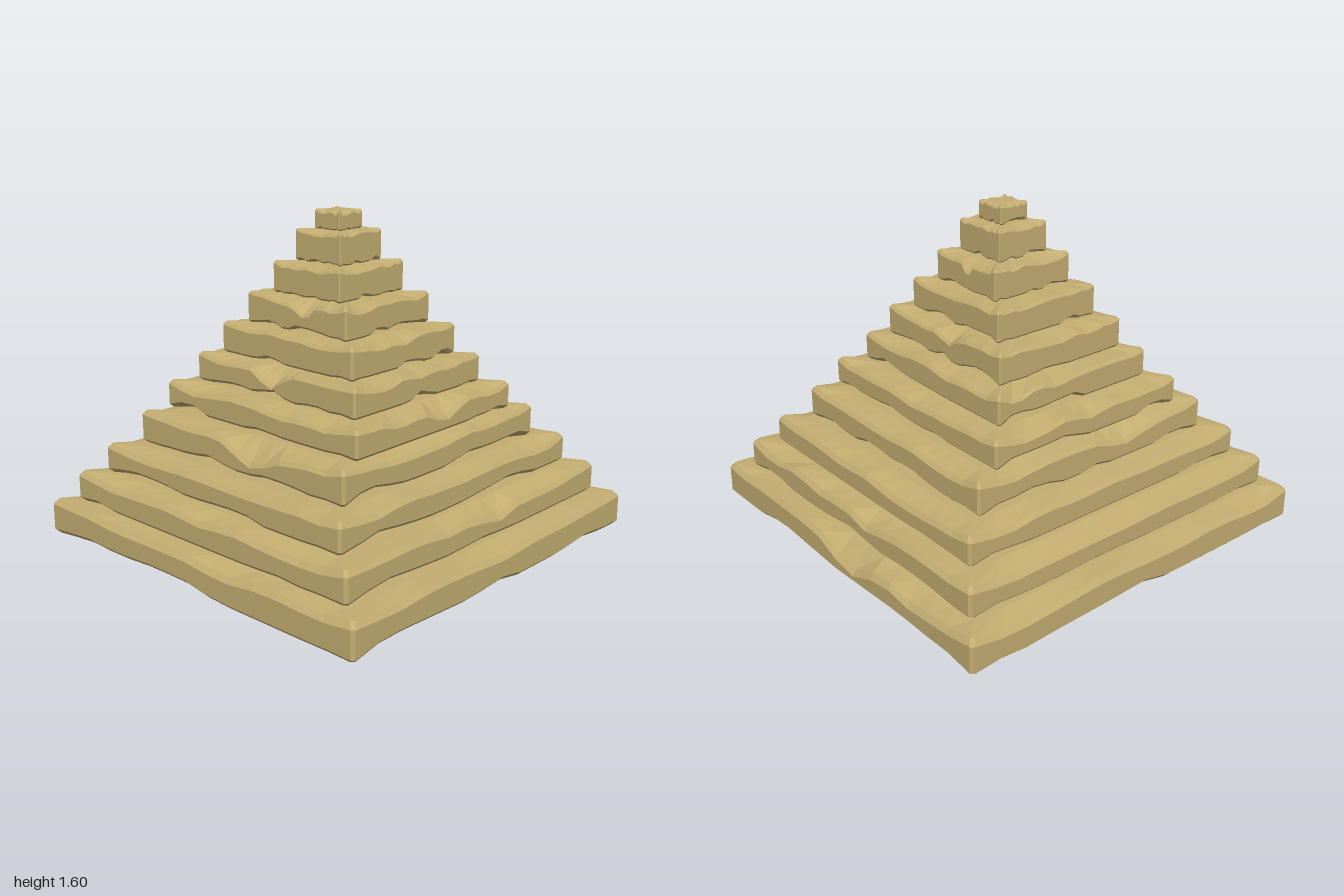
import * as THREE from 'three';

// Small seeded generator for the weathering
function seeded(seed) {
  let s = seed * 7919 + 17;
  return () => {
    s = (s * 16807) % 2147483647;
    return s / 2147483647;
  };
}

// Half width in x, half depth in z, bottom and top of each step
const TIERS = [
  [1.0, 1.0, 0, 0.175], [0.917, 0.888, 0.175, 0.328], [0.825, 0.77, 0.328, 0.472],
  [0.688, 0.663, 0.472, 0.63], [0.555, 0.617, 0.63, 0.765], [0.45, 0.51, 0.765, 0.905],
  [0.368, 0.42, 0.905, 1.055], [0.295, 0.317, 1.055, 1.205], [0.225, 0.213, 1.205, 1.355],
  [0.143, 0.144, 1.355, 1.505], [0.08, 0.08, 1.505, 1.595],
];

// Deep worn notches: tier, side (0 front, 1 +x, 2 back, 3 -x), place along side, depth, half width
const NOTCHES = [
  [0, 1, 0.12, 0.08, 0.25], [0, 1, 0.55, 0.03, 0.2], [1, 0, 0.11, 0.06, 0.22],
  [1, 1, -0.8, 0.04, 0.2], [1, 1, 0.12, 0.04, 0.2], [4, 0, 0.1, 0.07, 0.28],
  [6, 1, 0.12, 0.05, 0.25], [8, 1, 0.08, 0.05, 0.22], [3, 2, 0.25, 0.06, 0.25],
  [3, 3, 0.18, 0.08, 0.28], [5, 3, -0.05, 0.06, 0.28], [7, 3, 0.2, 0.06, 0.28],
];

const SEGMENTS = 14;

// One stone step: rings of a bevelled square, worn along its upper and lower edges
function stepGeometry([hx, hz, y0, y1], tier) {
  const rand = seeded(tier + 1);
  const size = Math.max(hx, hz);
  const bevel = 0.005 + 0.016 * size;
  const inner = Math.min(0.11, size * 0.4);
  const wear = 0.012 + 0.024 * Math.min(1, size * 2);

  // Columns round the outline, each with its wear at top and bottom
  const columns = [];
  for (let side = 0; side < 4; side++) {
    const knots = Array.from({ length: 9 }, () => [rand(), rand()]);
    for (let i = 0; i <= SEGMENTS; i++) {
      const s = (i / SEGMENTS) * 2 - 1;
      const k = Math.min(7.999, (s + 1) * 4);
      const a = Math.floor(k);
      const mix = (j) => THREE.MathUtils.lerp(knots[a][j], knots[a + 1][j], k - a);
      const fade = Math.min(1, (1 - Math.abs(s)) * 6);
      let dip = wear * mix(0);
      for (const [t, f, at, depth, half] of NOTCHES) {
        if (t === tier && f === side) dip += depth * Math.max(0, 1 - Math.abs(s - at) / half);
      }
      const rise = wear * Math.max(0, mix(1) * 1.7 - 0.6);
      columns.push({ side, s, dip: dip * fade, rise: rise * fade });
    }
  }

  // Point of a column with the outline drawn in by an inset
  const place = ({ side, s }, inset) => {
    const x = hx - inset, z = hz - inset;
    const along = (h) => s * Math.max(0, h - bevel * 0.7);
    return [[along(x), z], [x, -along(z)], [-along(x), -z], [-x, along(z)]][side];
  };

  const rings = [
    [inner, () => y0],
    [bevel, (c) => y0 + c.rise],
    [0, (c) => y0 + c.rise + bevel],
    [0, (c) => y1 - c.dip - bevel * 1.2],
    [bevel, (c) => y1 - c.dip],
    [inner, () => y1],
  ];
  const positions = [];
  for (const [inset, height] of rings) {
    for (const c of columns) {
      const [x, z] = place(c, inset);
      positions.push(x, height(c), z);
    }
  }
  const n = columns.length;
  const bottom = positions.length / 3;
  positions.push(0, y0, 0, 0, y1, 0);

  const index = [];
  for (let i = 0; i < n; i++) {
    const j = (i + 1) % n;
    for (let r = 0; r < rings.length - 1; r++) {
      const a = r * n + i, b = r * n + j;
      index.push(a, b, b + n, a, b + n, a + n);
    }
    const top = (rings.length - 1) * n;
    index.push(bottom, j, i, bottom + 1, top + i, top + j);
  }

  const geometry = new THREE.BufferGeometry();
  geometry.setAttribute('position', new THREE.Float32BufferAttribute(positions, 3));
  geometry.setIndex(index);
  geometry.computeVertexNormals();
  return geometry;
}

export function createModel() {
  const group = new THREE.Group();
  group.name = 'steppedPyramid';
  const stone = new THREE.MeshStandardMaterial({ color: 0xc2ac70, flatShading: true });
  TIERS.forEach((tier, i) => {
    const mesh = new THREE.Mesh(stepGeometry(tier, i), stone);
    mesh.name = i === TIERS.length - 1 ? 'capstone' : `stoneStep${i + 1}`;
    group.add(mesh);
  });
  return group;
}
